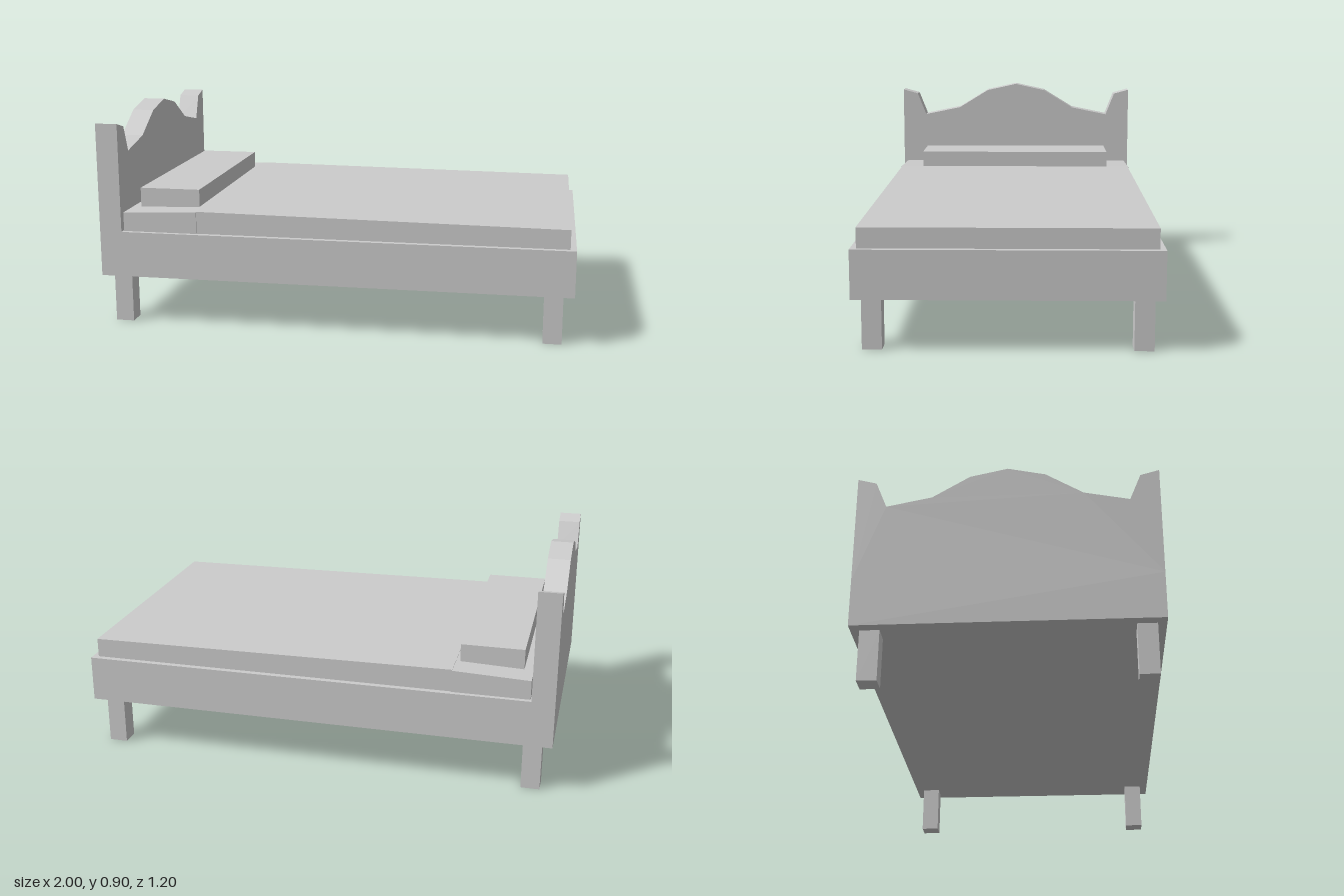
import * as THREE from 'three';

const material = new THREE.MeshStandardMaterial({ color: 0xcccccc, flatShading: true });

function add(parent, name, geometry) {
  const mesh = new THREE.Mesh(geometry, material);
  mesh.name = name;
  parent.add(mesh);
  return mesh;
}

// Box given by its lower and upper corners
function box(parent, name, [x0, y0, z0], [x1, y1, z1]) {
  const mesh = add(parent, name, new THREE.BoxGeometry(x1 - x0, y1 - y0, z1 - z0));
  mesh.position.set((x0 + x1) / 2, (y0 + y1) / 2, (z0 + z1) / 2);
  return mesh;
}

// Outline extruded along z and centred on z = 0
function slab(points, depth) {
  const shape = new THREE.Shape(points.map(([x, y]) => new THREE.Vector2(x, y)));
  return new THREE.ExtrudeGeometry(shape, { depth, bevelEnabled: false }).translate(0, 0, -depth / 2);
}

export function createModel() {
  const bed = new THREE.Group();
  bed.name = 'bed';

  // Solid base and four square legs
  box(bed, 'bedFrame', [-1, 0.21, -0.6], [1, 0.405, 0.6]);
  for (const x of [-0.918, 0.916]) {
    for (const z of [-0.526, 0.526]) {
      box(bed, 'leg', [x - 0.039, 0, z - 0.039], [x + 0.039, 0.21, z + 0.039]);
    }
  }

  // Headboard: half outline mirrored about the crest
  const half = [[0.6, 0.405], [0.6, 0.868], [0.525, 0.847], [0.481, 0.736], [0.3, 0.773], [0.15, 0.865]];
  const mirrored = half.map(([z, y]) => [-z, y]).reverse();
  const headboard = add(bed, 'headboard', slab([...half, [0, 0.898], ...mirrored], 0.095));
  headboard.rotation.y = Math.PI / 2;
  headboard.position.x = -0.9525;

  // Mattress end beside the pillow, rising gently towards the blanket
  add(bed, 'mattress', slab([[-0.9, 0.405], [-0.58, 0.405], [-0.58, 0.498], [-0.9, 0.486]], 1.162));

  // Blanket, sloping down to the foot
  add(bed, 'blanket', slab([[-0.58, 0.405], [0.975, 0.405], [0.975, 0.486], [-0.58, 0.5]], 1.152));

  box(bed, 'pillow', [-0.86, 0.485, -0.47], [-0.597, 0.572, 0.47]);

  return bed;
}
